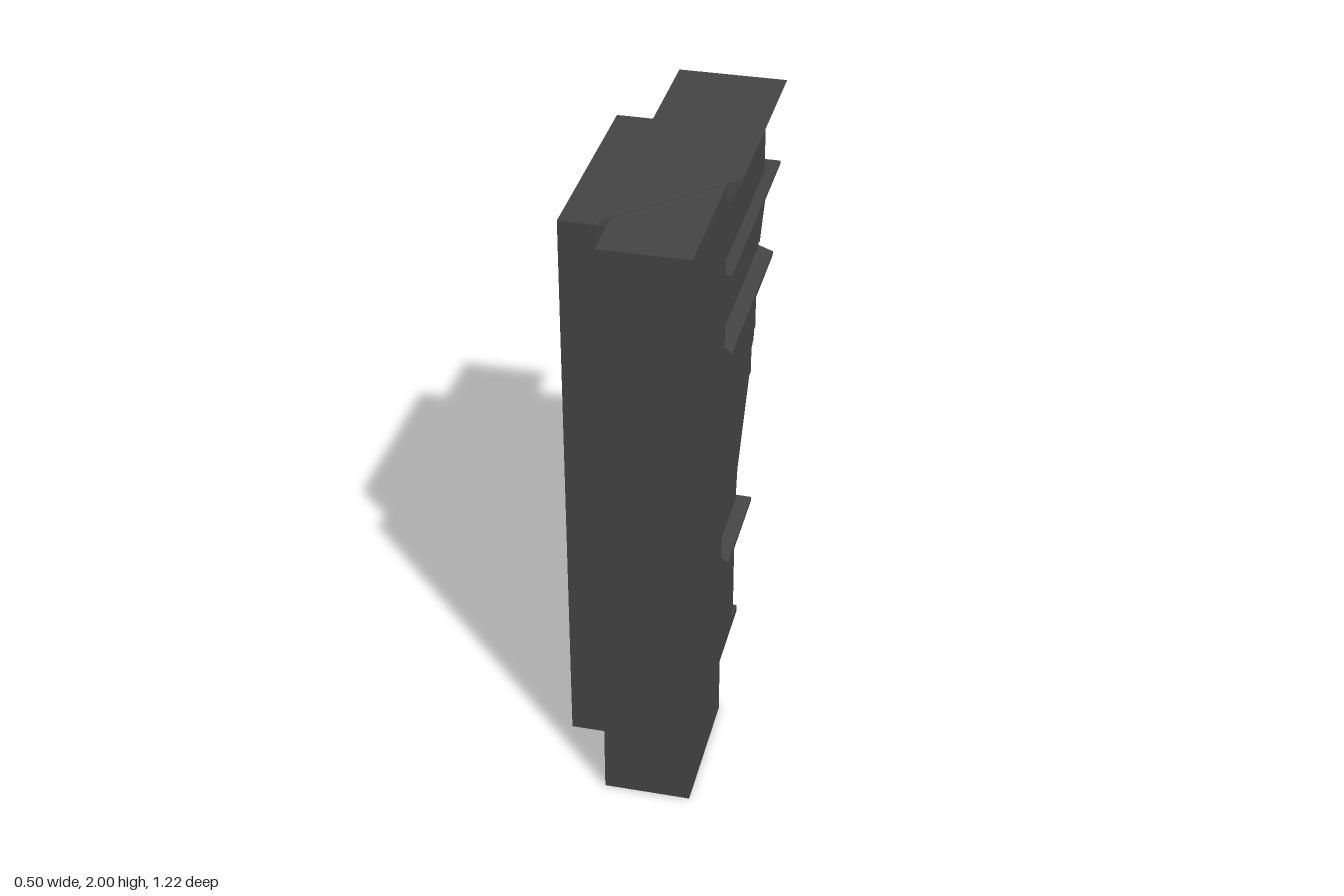
import * as THREE from 'three';

const mat = new THREE.MeshStandardMaterial({ color: 0x444444, flatShading: true });
const CX = 0.07, HALF = 0.125; // bracket centre line and half width

function add(parent, name, geo) {
  const mesh = new THREE.Mesh(geo, mat);
  mesh.name = name;
  parent.add(mesh);
  return mesh;
}

function box(parent, name, x0, x1, y0, y1, z0, z1) {
  const m = add(parent, name, new THREE.BoxGeometry(x1 - x0, y1 - y0, z1 - z0));
  m.position.set((x0 + x1) / 2, (y0 + y1) / 2, (z0 + z1) / 2);
  return m;
}

// Side profile of [projection towards -z, y] points, extruded along x
function sideProfile(parent, name, pts, x0, x1) {
  const shape = new THREE.Shape(pts.map(p => new THREE.Vector2(...p)));
  const geo = new THREE.ExtrudeGeometry(shape, { depth: x1 - x0, bevelEnabled: false });
  geo.rotateY(Math.PI / 2).translate(x0, 0, 0);
  return add(parent, name, geo);
}

// Solid through stacked rings, each counter-clockwise seen from above
function loft(rings) {
  const pos = [];
  const tri = (a, b, c) => pos.push(...a, ...b, ...c);
  const n = rings[0].length;
  for (let i = 0; i < rings.length - 1; i++) {
    const a = rings[i], b = rings[i + 1];
    for (let j = 0; j < n; j++) {
      const k = (j + 1) % n;
      tri(a[j], a[k], b[k]);
      tri(a[j], b[k], b[j]);
    }
  }
  const bottom = rings[0], top = rings[rings.length - 1];
  for (let j = 1; j < n - 1; j++) {
    tri(bottom[0], bottom[j + 1], bottom[j]);
    tri(top[0], top[j], top[j + 1]);
  }
  const geo = new THREE.BufferGeometry();
  geo.setAttribute('position', new THREE.Float32BufferAttribute(pos, 3));
  geo.computeVertexNormals();
  return geo;
}

// Moulding mitred around the two sides and the end; steps are [y, overhang]
function moulding(parent, name, out, steps) {
  add(parent, name, loft(steps.map(([y, o]) => {
    const x0 = CX - HALF - o, x1 = CX + HALF + o, zb = -out - o;
    return [[x0, y, 0.16], [x1, y, 0.16], [x1, y, zb], [x0, y, zb]];
  })));
}

// Plate with rectangular openings [x, y, w, h]; centred, outer face at z = 0 facing -z
function plate(parent, name, w, h, depth, holes) {
  const path = (T, x, y, pw, ph) => new T([[-1, -1], [1, -1], [1, 1], [-1, 1]]
    .map(([i, j]) => new THREE.Vector2(x + i * pw / 2, y + j * ph / 2)));
  const shape = path(THREE.Shape, 0, 0, w, h);
  shape.holes = holes.map(q => path(THREE.Path, ...q));
  return add(parent, name, new THREE.ExtrudeGeometry(shape, { depth, bevelEnabled: false }));
}

function flutedPlate(parent, name, y0, y1, out, depth) {
  const h = y1 - y0;
  const holes = [-0.072, 0, 0.072].map(x => [x, 0, 0.042, h - 0.04]);
  plate(parent, name, HALF * 2, h, depth, holes).position.set(CX, (y0 + y1) / 2, -out);
}

export function createModel() {
  const model = new THREE.Group();
  model.name = 'corniceBracket';
  const L = CX - HALF, R = CX + HALF;

  // Post and the notched wall slab beside it
  box(model, 'post', -0.07, 0.21, 0, 1.998, 0.15, 0.61);
  sideProfile(model, 'wallSlab', [
    [-0.355, 0], [-0.12, 0], [-0.12, 0.48], [-0.09, 0.5], [-0.05, 0.53], [-0.05, 0.57],
    [-0.12, 0.62], [-0.12, 0.9], [-0.05, 0.93], [-0.05, 1.03], [-0.12, 1.1], [-0.12, 1.3],
    [-0.07, 1.33], [-0.07, 1.4], [-0.04, 1.44], [-0.04, 1.5], [-0.12, 1.53], [-0.12, 1.57],
    [0.345, 1.57], [0.355, 1.59], [0.355, 1.93], [-0.355, 1.93]], -0.25, -0.04);
  box(model, 'postFoot', -0.05, 0.19, 0, 0.16, 0.12, 0.2);

  // Bracket core, set back where plates cover it
  const bracket = new THREE.Group();
  bracket.name = 'bracket';
  model.add(bracket);
  sideProfile(bracket, 'bracketCore', [
    [-0.2, 0.14], [0.12, 0.14], [0.12, 0.6], [0.13, 0.66], [0.15, 0.77], [0.322, 1.03],
    [0.37, 1.03], [0.37, 1.12], [0.385, 1.125], [0.405, 1.14], [0.41, 1.17], [0.41, 1.4],
    [0.435, 1.45], [0.54, 1.6], [0.575, 1.64], [0.575, 1.68], [0.505, 1.69], [0.505, 1.95],
    [-0.2, 1.95]], L, R);

  // Cap with a mitred front end
  add(bracket, 'cap', loft([[1.94, 0.03], [1.95, 0.025], [1.985, 0.006], [2, 0]].map(([y, i]) => {
    const x0 = -0.1 + i, x1 = 0.25 - i, zb = -0.58 + i;
    const mitre = x => 0.455 - 0.986 * (x + 0.1);
    return [[x0, y, mitre(x0)], [x1, y, mitre(x1)], [x1, y, zb], [x0, y, zb]];
  })));

  // Wrapping mouldings
  moulding(bracket, 'upperMoulding', 0.57, [[1.67, 0.004], [1.675, 0.022], [1.688, 0.025], [1.69, 0.037], [1.7, 0.037]]);
  moulding(bracket, 'middleMoulding', 0.455, [[1.39, -0.015], [1.395, 0], [1.41, 0.005], [1.41, 0.04], [1.425, 0.04], [1.465, 0]]);
  moulding(bracket, 'lowerMoulding', 0.175, [[0.59, 0], [0.59, 0.022], [0.612, 0.025], [0.615, 0.04], [0.63, 0.04], [0.66, 0]]);

  // Fluted frieze and fluted foot
  flutedPlate(bracket, 'frieze', 1.695, 1.945, 0.525, 0.021);
  flutedPlate(bracket, 'flutedFoot', 0.14, 0.6, 0.14, 0.021);
  for (const [y0, y1, o] of [[0.175, 0.2, 0.165], [0.19, 0.205, 0.152], [0.51, 0.55, 0.16], [0.55, 0.565, 0.15]])
    box(bracket, 'footBand', L - 0.008, R + 0.008, y0, y1, -o, -0.1);

  // Sloping panel with a raised pyramid
  const slope = new THREE.Group();
  slope.name = 'pyramidPanel';
  slope.position.set(CX, 1.545, -0.525);
  slope.rotation.x = -0.61;
  bracket.add(slope);
  plate(slope, 'pyramidFrame', HALF * 2, 0.19, 0.03, [[0, 0, 0.19, 0.14]]);
  const pyramid = new THREE.ConeGeometry(Math.SQRT1_2, 1, 4).toNonIndexed();
  pyramid.rotateY(Math.PI / 4).rotateX(-Math.PI / 2).scale(0.17, 0.125, 0.065);
  pyramid.computeVertexNormals();
  add(slope, 'pyramid', pyramid).position.z = -0.012;

  // Framed block with a rosette
  plate(bracket, 'rosetteFrame', HALF * 2, 0.225, 0.021, [[0, 0, 0.17, 0.15]])
    .position.set(CX, 1.282, -0.43);
  const rosette = new THREE.Group();
  rosette.name = 'rosette';
  rosette.position.set(CX, 1.282, -0.41);
  bracket.add(rosette);
  for (let i = 0; i < 6; i++) {
    const petal = add(rosette, 'petal', new THREE.SphereGeometry(1, 8, 6));
    const a = i * Math.PI / 3 + Math.PI / 6;
    petal.scale.set(0.026, 0.016, 0.014);
    petal.position.set(Math.cos(a) * 0.036, Math.sin(a) * 0.036, 0);
    petal.rotation.z = a;
  }
  add(rosette, 'rosetteCentre', new THREE.SphereGeometry(0.017, 8, 6));

  // Curved tongue: side rails, cross ridges and hanging tab
  const rail = [[0.1, 0.6], [0.145, 0.64], [0.15, 0.67], [0.17, 0.77], [0.345, 1.035], [0.28, 1.035], [0.1, 0.78]];
  sideProfile(bracket, 'tongueRail', rail, L, L + 0.045);
  sideProfile(bracket, 'tongueRail', rail, R - 0.045, R);
  for (let i = 0; i < 5; i++) {
    const t = i / 4;
    const ridge = box(bracket, 'tongueRidge', L + 0.04, R - 0.04, -0.01, 0.01, -0.012, 0.012);
    ridge.position.set(CX, 0.73 + 0.24 * t, -(t === 0 ? 0.143 : 0.135 + 0.15 * t));
    ridge.rotation.x = -0.58;
  }
  box(bracket, 'hangingTab', CX - 0.055, CX + 0.055, 0.98, 1.04, -0.368, -0.28);

  return model;
}
